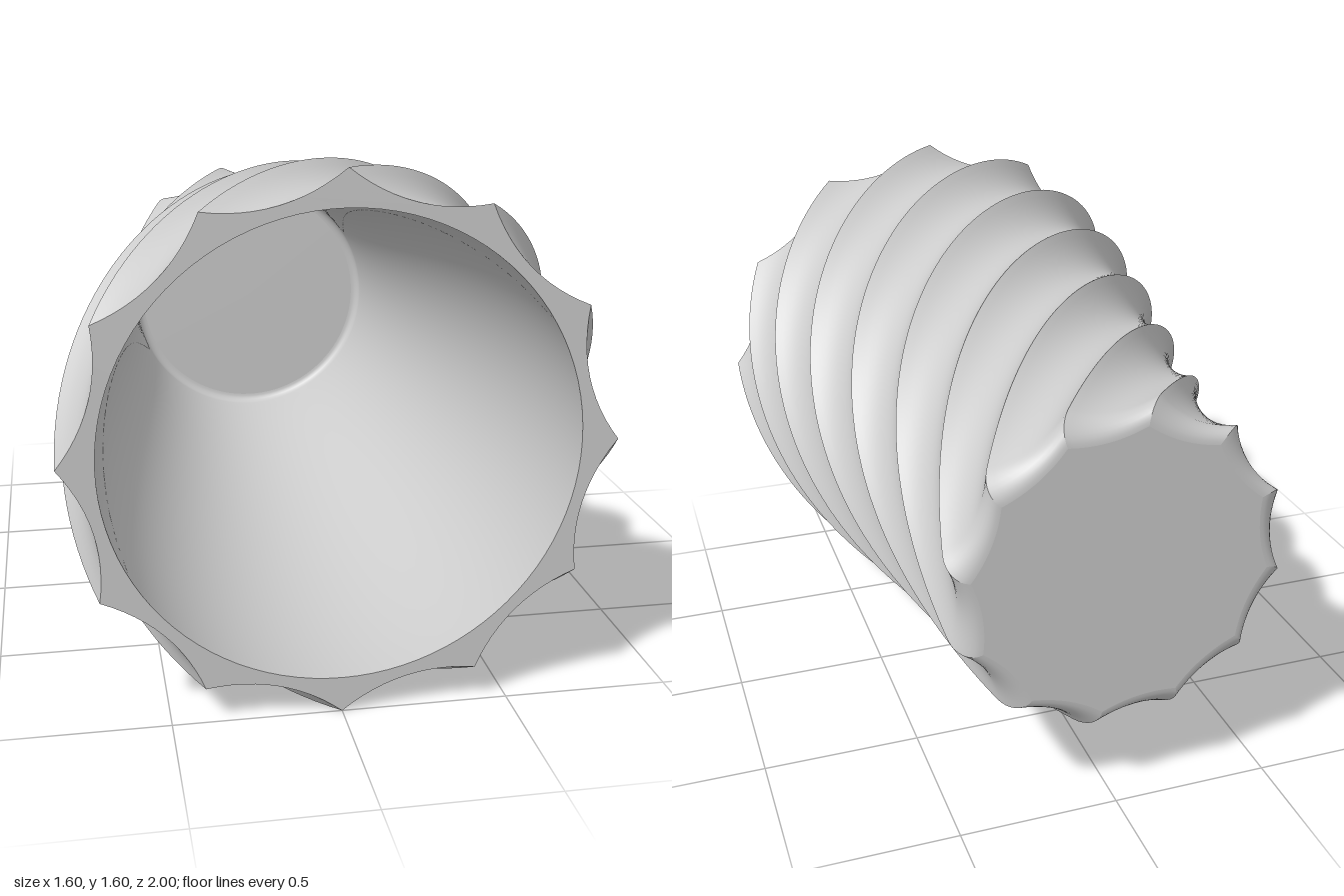
import * as THREE from 'three';

const FLUTES = 12, STEP = Math.PI * 2 / FLUTES;
const TWIST = THREE.MathUtils.degToRad(86.5); // turn per unit of depth
const END = -0.93, FILLET = 0.07;

// ridge radius of the tapering body at depth z
const bodyRadius = z => 0.8 - 0.27 * THREE.MathUtils.smoothstep((1 - z) / (1 - END), 0, 1);

// point on a concave flute, u from 0 to 1 between two ridges
function flutePoint(i, u, z, R, sag) {
  const k = u * 2 - 1;
  const across = Math.sin(STEP / 2) * k;
  const out = Math.cos(STEP / 2) - sag * (1 - k * k);
  const a = (i + 0.5) * STEP + TWIST * (1 - z) + Math.atan2(across, out);
  const r = R * Math.hypot(across, out);
  return [r * Math.sin(a), r * Math.cos(a), z];
}

// rows of [z, ridge radius, flute depth] from the mouth to the rounded base
function bodyRows() {
  const rows = [];
  for (let j = 0; j <= 70; j++) {
    const z = 1 + (END - 1) * j / 70;
    rows.push([z, bodyRadius(z), 0.056]);
  }
  for (let j = 1; j <= 8; j++) {
    const a = j / 8 * Math.PI / 2;
    rows.push([END - FILLET * Math.sin(a), bodyRadius(END) - FILLET * (1 - Math.cos(a)), 0.056 - 0.02 * j / 8]);
  }
  return rows;
}

// one flute as its own patch, so the ridges stay sharp
function fluteGeometry(i, rows) {
  const n = 12, pos = [], index = [];
  rows.forEach(([z, R, sag], j) => {
    for (let k = 0; k <= n; k++) pos.push(...flutePoint(i, k / n, z, R, sag));
    if (j === 0) return;
    for (let k = 0; k < n; k++) {
      const b = j * (n + 1) + k, a = b - n - 1;
      index.push(a, a + 1, b, a + 1, b + 1, b);
    }
  });
  const g = new THREE.BufferGeometry();
  g.setAttribute('position', new THREE.Float32BufferAttribute(pos, 3));
  g.setIndex(index);
  g.computeVertexNormals();
  return g;
}

// closed scalloped outline of a row
function outline([z, R, sag], mirror = 1) {
  const pts = [];
  for (let i = 0; i < FLUTES; i++)
    for (let k = 0; k < 12; k++) {
      const [x, y] = flutePoint(i, k / 12, z, R, sag);
      pts.push(new THREE.Vector2(x * mirror, y));
    }
  return new THREE.Shape(pts);
}

export function createModel() {
  const group = new THREE.Group();
  const cup = new THREE.Group();
  cup.name = 'cup';
  cup.position.y = 0.8;
  group.add(cup);
  const mat = new THREE.MeshStandardMaterial({ color: 0xcccccc });
  const thin = new THREE.MeshStandardMaterial({ color: 0xcccccc, side: THREE.DoubleSide });
  const add = (name, geo, material = mat, parent = cup) => {
    const m = new THREE.Mesh(geo, material);
    m.name = name;
    parent.add(m);
    return m;
  };

  // twisted outer wall
  const rows = bodyRows();
  const wall = new THREE.Group();
  wall.name = 'twistedWall';
  cup.add(wall);
  for (let i = 0; i < FLUTES; i++) add('flute', fluteGeometry(i, rows), mat, wall);

  // flat rim around the mouth
  const inner = 0.865;
  const rim = outline(rows[0]);
  rim.holes.push(new THREE.Path().absarc(0, 0, 0.8 * inner, 0, Math.PI * 2, true));
  add('rim', new THREE.ShapeGeometry(rim, 48)).position.z = 1;

  // flat base
  const base = add('base', new THREE.ShapeGeometry(outline(rows[rows.length - 1], -1)));
  base.rotation.y = Math.PI;
  base.position.z = -1;

  // smooth round inside with a small fillet at the floor
  const profile = [], floor = -0.93, f = 0.03;
  for (let j = 0; j <= 40; j++) {
    const z = 1 + (floor + f - 1) * j / 40;
    profile.push(new THREE.Vector2(bodyRadius(z) * inner, z));
  }
  const r = profile[40].x;
  for (let j = 1; j <= 6; j++) {
    const a = j / 6 * Math.PI / 2;
    profile.push(new THREE.Vector2(r - f * (1 - Math.cos(a)), floor + f - f * Math.sin(a)));
  }
  add('innerWall', new THREE.LatheGeometry(profile, 96).rotateX(Math.PI / 2), thin);
  add('floor', new THREE.CircleGeometry(r - f, 96)).position.z = floor;

  return group;
}
